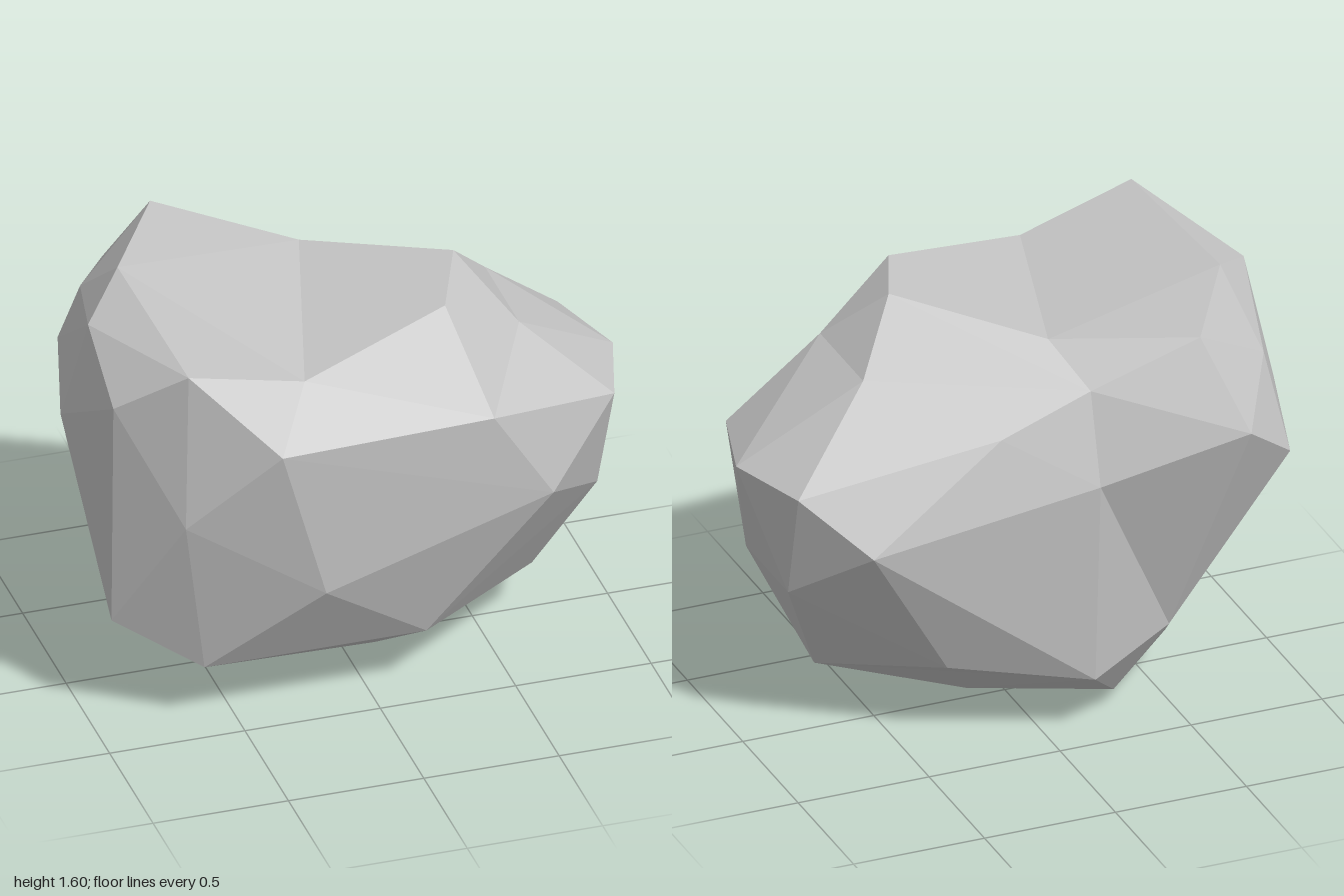
import * as THREE from 'three';
import { ConvexGeometry } from 'three/addons/geometries/ConvexGeometry.js';

// Corners of the boulder; an optional second triple is a push outward used only
// while finding the facets, so that shallow dents keep their corners.
const TOP = [
  [[-0.94, 1.5, 0.065]], [[-0.77, 1.595, -0.125]], [[-0.75, 1.57, 0.63]],
  [[-0.51, 1.57, -0.56]], [[0.39, 1.595, 0.125]], [[0.26, 1.57, 0.435]],
  [[-0.06, 1.505, -0.25], [0, 0.135, 0]], [[-0.31, 1.455, 0.595], [0, 0.205, 0]],
  [[0.57, 1.38, 0.32], [0.05, 0.05, 0]], [[0.57, 1.38, -0.07], [0.05, 0.05, 0]],
];
const FRONT = [
  [[-0.97, 1.38, 0.45]], [[-0.44, 1.25, 0.75]], [[0.38, 1.195, 0.63]],
  [[-0.75, 0.93, 0.6]], [[-0.25, 0.61, 0.66]], [[0.62, 0.81, 0.565]],
];
const SIDES = [
  [[-1, 1.07, -0.065]], [[-0.94, 0.44, 0.335]], [[1, 1.065, 0.06]],
  [[0.9, 1.065, 0.39]], [[0.9, 1.065, -0.265]],
  [[0.88, 0.63, 0.255]], [[0.88, 0.63, -0.125]],
];
const BACK = [
  [[-0.625, 1.255, -0.75]], [[-0.845, 1.06, -0.58]], [[-0.82, 1.37, -0.4]],
  [[-0.13, 1.05, -0.56], [0, 0, -0.22]], [[-0.13, 1.39, -0.47], [0, 0.13, -0.23]],
  [[0.2, 1.25, -0.445], [0, 0.11, -0.175]], [[0.685, 0.87, -0.44]],
  [[-0.45, 0.375, -0.42], [-0.05, -0.055, -0.2]],
];
const BOTTOM = [
  [[-0.63, 0.25, 0.44]], [[0.19, 0.25, 0.44]], [[0.7, 0.22, 0.065]],
  [[0.35, 0.31, -0.31]], [[-0.15, 0.235, -0.465], [0, -0.03, -0.1]], [[-0.58, 0.16, -0.08]],
  [[-0.45, 0.04, 0.1]], [[-0.31, 0.06, -0.25]], [[0.12, 0, 0.065]],
];

// Finds the facets on the pushed-out corners, then drops each corner into place.
function boulderGeometry(corners) {
  const real = corners.map(([p]) => new THREE.Vector3(...p));
  const pushed = corners.map(([p, d = [0, 0, 0]]) => new THREE.Vector3(...p).add(new THREE.Vector3(...d)));
  const geometry = new ConvexGeometry(pushed);
  const pos = geometry.attributes.position;
  const v = new THREE.Vector3();
  for (let i = 0; i < pos.count; i++) {
    v.fromBufferAttribute(pos, i);
    let best = 0;
    pushed.forEach((q, k) => {
      if (q.distanceToSquared(v) < pushed[best].distanceToSquared(v)) best = k;
    });
    pos.setXYZ(i, real[best].x, real[best].y, real[best].z);
  }
  // Unshared corners give one flat normal per facet
  geometry.computeVertexNormals();
  return geometry;
}

export function createModel() {
  const group = new THREE.Group();
  group.name = 'rock';
  const stone = new THREE.MeshStandardMaterial({ color: 0xc6c6c6 });
  stone.name = 'stone grey';
  const boulder = new THREE.Mesh(boulderGeometry([...TOP, ...FRONT, ...SIDES, ...BACK, ...BOTTOM]), stone);
  boulder.name = 'boulder';
  group.add(boulder);
  return group;
}
